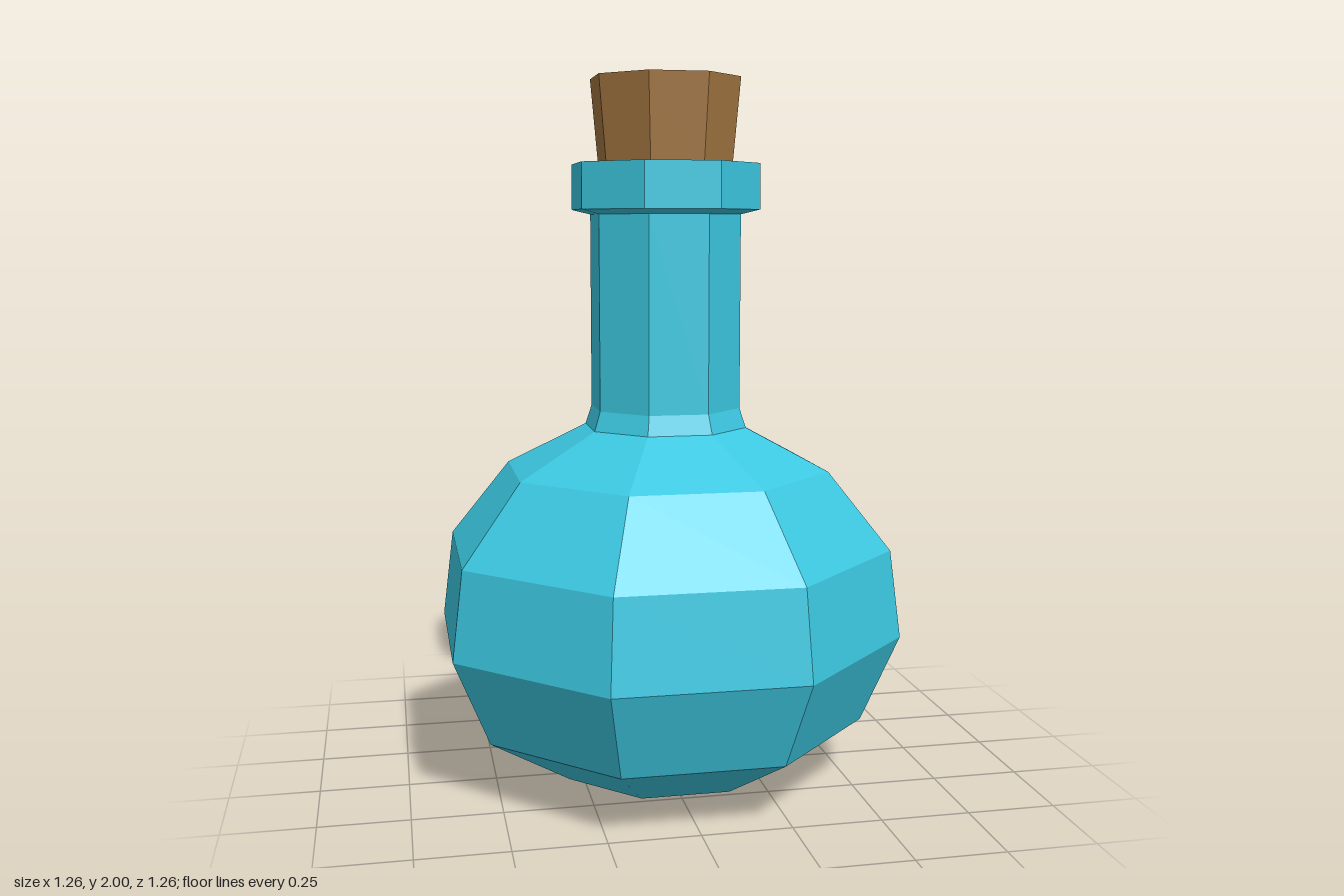
import * as THREE from 'three';

const SIDES = 8;
const toCorner = 1 / Math.cos(Math.PI / SIDES);

// Octagonal solid of revolution; profile is [distance to flat side, height], bottom to top
function octagonal(name, profile, material) {
  const points = profile.map(([r, y]) => new THREE.Vector2(r * toCorner, y));
  const mesh = new THREE.Mesh(new THREE.LatheGeometry(points, SIDES, Math.PI / SIDES), material);
  mesh.name = name;
  return mesh;
}

export function createModel() {
  const glass = new THREE.MeshStandardMaterial({ color: 0x3cc8e1 });
  glass.name = 'turquoise glass';
  glass.flatShading = true;
  const corkBrown = new THREE.MeshStandardMaterial({ color: 0xa37541 });
  corkBrown.name = 'cork brown';
  corkBrown.flatShading = true;

  const group = new THREE.Group();
  group.name = 'flask';

  // Round belly with shoulder
  group.add(octagonal('belly', [
    [0, 0], [0.3, 0.03], [0.53, 0.185], [0.63, 0.435],
    [0.6, 0.685], [0.435, 0.905], [0.217, 1.025],
  ], glass));

  // Straight neck with a short flare at its foot
  group.add(octagonal('neck', [[0.217, 1.025], [0.2, 1.08], [0.2, 1.625]], glass));

  // Lip ring with sloping underside
  group.add(octagonal('lip', [[0.2, 1.625], [0.25, 1.638], [0.25, 1.765], [0, 1.765]], glass));

  // Tapered stopper
  group.add(octagonal('cork', [[0.178, 1.765], [0.198, 2], [0, 2]], corkBrown));

  return group;
}
